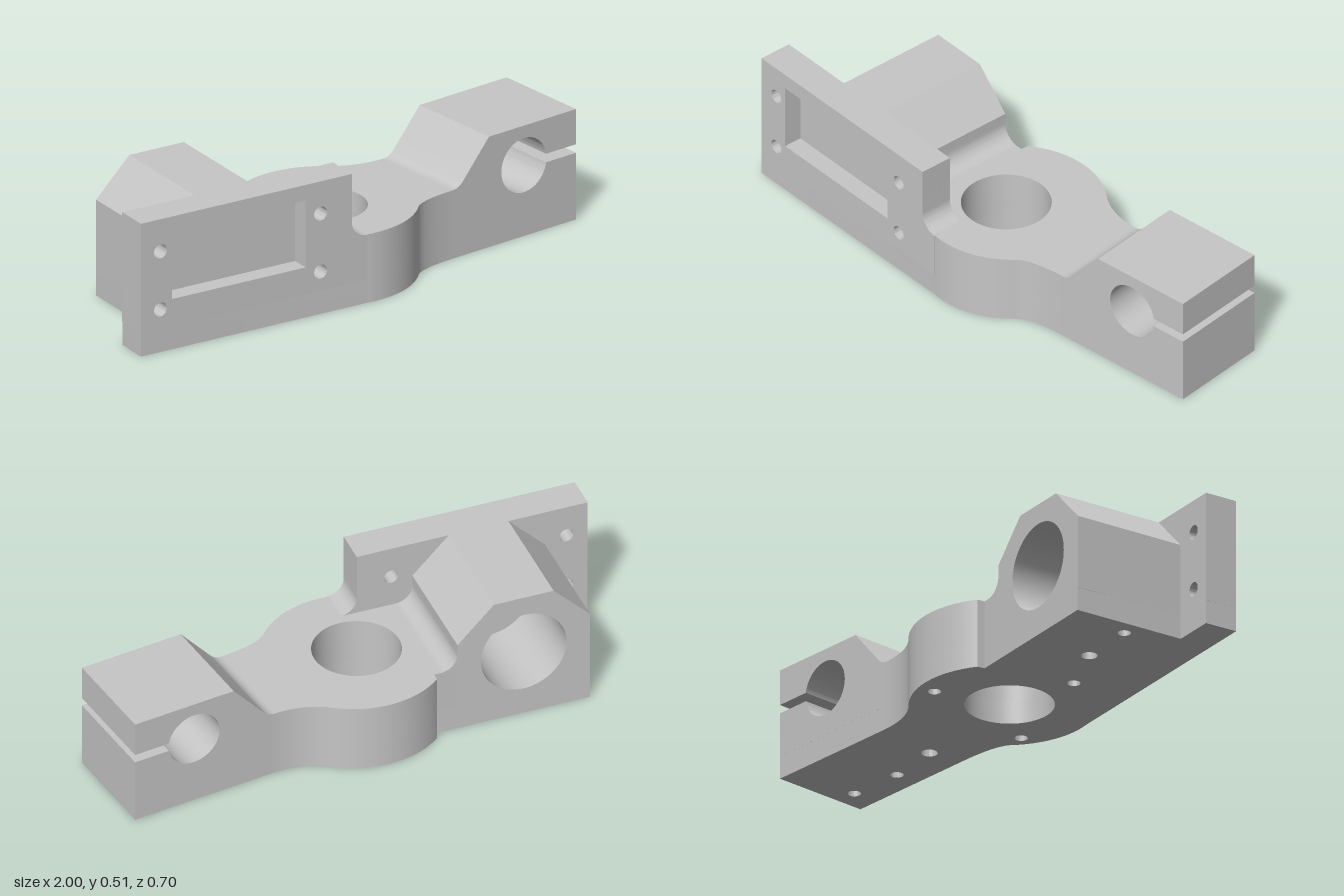
import * as THREE from 'three';
import { toCreasedNormals } from 'three/addons/utils/BufferGeometryUtils.js';

const BASE = 0.09;  // height of the drilled bottom layer
const DECK = 0.265; // top of the hub
const TOP = 0.515;  // top of the plate and boss

export function createModel() {
  const model = new THREE.Group();
  const metal = new THREE.MeshStandardMaterial({ color: 0xc6c6c6 });
  metal.name = 'machined grey';

  // Holes run counter-clockwise, outlines with holes run clockwise
  const circle = (x, y, r) => new THREE.Path().absarc(x, y, r, 0, Math.PI * 2, false);
  const rect = (x0, y0, x1, y1) => new THREE.Path([
    [x0, y0], [x1, y0], [x1, y1], [x0, y1], [x0, y0],
  ].map(([x, y]) => new THREE.Vector2(x, y)));

  // Extrudes a profile from z0 to z1
  function extrude(name, shape, holes, z0, z1, parent) {
    shape.holes = holes;
    const raw = new THREE.ExtrudeGeometry(shape, { depth: z1 - z0, bevelEnabled: false, curveSegments: 32 });
    raw.translate(0, 0, z0);
    const mesh = new THREE.Mesh(toCreasedNormals(raw, 0.5), metal);
    mesh.name = name;
    parent.add(mesh);
  }

  // Plan outline in (x, -z); the full one includes the arm, boss and plate
  function footprint(full) {
    const s = new THREE.Shape();
    if (full) s.moveTo(-0.843, 0.227);
    else s.moveTo(-0.335, 0.235);
    s.lineTo(-0.245, 0.237);
    s.absarc(-0.02, 0.01, 0.34, 2.288, 0.983, true);
    s.quadraticCurveTo(0.26, 0.235, 0.396, 0.257);
    if (full) {
      s.lineTo(0.939, 0.343);
      s.lineTo(1, -0.04);
    }
    s.lineTo(0.457, -0.126);
    s.quadraticCurveTo(0.284, -0.152, 0.2483, -0.1987);
    s.absarc(-0.02, 0.01, 0.34, -0.661, -1.644, true);
    const rest = full
      ? [[-1, -0.3485], [-1, -0.22], [-0.838, -0.217]]
      : [[-0.05, -0.204], [-0.33, -0.208]];
    rest.forEach(([x, y]) => s.lineTo(x, y));
    s.closePath();
    return s;
  }

  // Bottom layer with blind screw holes, hub above it
  const hubHole = () => circle(-0.037, -0.005, 0.163);
  const screws = [
    [0.9, 0.051, 0.024], [0.684, 0.009, 0.024], [0.465, 0.012, 0.03],
    [0.018, 0.281, 0.024], [0.18, -0.195, 0.024], [-0.313, -0.1, 0.024],
    [-0.54, -0.019, 0.03], [-0.769, -0.02, 0.024],
  ].map((p) => circle(...p));
  const plan = new THREE.Group();
  plan.name = 'body';
  plan.rotation.x = -Math.PI / 2;
  model.add(plan);
  extrude('base', footprint(true), [hubHole(), ...screws], 0, BASE, plan);
  extrude('hub', footprint(false), [hubHole()], BASE, DECK, plan);

  // Clamp arm: sloped shoulder, cross bore and slot open to the end
  const arm = new THREE.Group();
  arm.name = 'clampArm';
  arm.position.set(1, 0, 0.04);
  arm.rotation.y = 0.157;
  model.add(arm);
  const clamp = new THREE.Shape();
  clamp.moveTo(-0.55, BASE);
  clamp.lineTo(0, BASE);
  clamp.lineTo(0, 0.2585);
  clamp.absarc(-0.243, 0.275, 0.105, -0.158, 0.158, true);
  clamp.lineTo(0, 0.2915);
  clamp.lineTo(0, 0.428);
  clamp.lineTo(-0.406, 0.428);
  clamp.lineTo(-0.527, 0.288);
  clamp.quadraticCurveTo(-0.547, DECK, -0.575, DECK);
  clamp.lineTo(-0.55, DECK - 0.005);
  clamp.closePath();
  extrude('clamp', clamp, [], -0.388, 0, arm);

  // Plate and boss share a slight turn
  const mount = new THREE.Group();
  mount.name = 'mount';
  mount.rotation.y = 0.017;
  model.add(mount);

  // Front plate: web behind, pocketed layer in front
  function plateShape() {
    const s = new THREE.Shape();
    s.moveTo(-1.005, BASE);
    s.lineTo(-1.005, TOP);
    s.lineTo(-0.116, TOP);
    s.absarc(-0.051, DECK + 0.065, 0.065, Math.PI, Math.PI * 1.5, false);
    s.lineTo(-0.051, BASE);
    s.closePath();
    return s;
  }
  const bolts = () => [[-0.923, 0.39], [-0.248, 0.39], [-0.923, 0.165], [-0.248, 0.165]]
    .map(([x, y]) => circle(x, y, 0.027));
  extrude('plateWeb', plateShape(), bolts(), 0.203, 0.26, mount);
  extrude('plateFront', plateShape(), [...bolts(), rect(-0.875, 0.195, -0.311, 0.455)], 0.26, 0.3315, mount);

  // Boss: chamfered block with a blind bore, filleted into the hub
  function bossShape() {
    const s = new THREE.Shape();
    s.moveTo(-0.84, BASE);
    s.lineTo(-0.84, 0.372);
    s.lineTo(-0.7, TOP);
    s.lineTo(-0.47, TOP);
    s.lineTo(-0.33, 0.372);
    s.absarc(-0.265, DECK + 0.065, 0.065, Math.PI, Math.PI * 1.5, false);
    s.lineTo(-0.33, DECK - 0.01);
    s.lineTo(-0.33, BASE);
    s.closePath();
    return s;
  }
  extrude('bossBored', bossShape(), [circle(-0.585, 0.273, 0.165)], -0.241, 0.1, mount);
  extrude('bossSolid', bossShape(), [], 0.1, 0.203, mount);

  return model;
}
